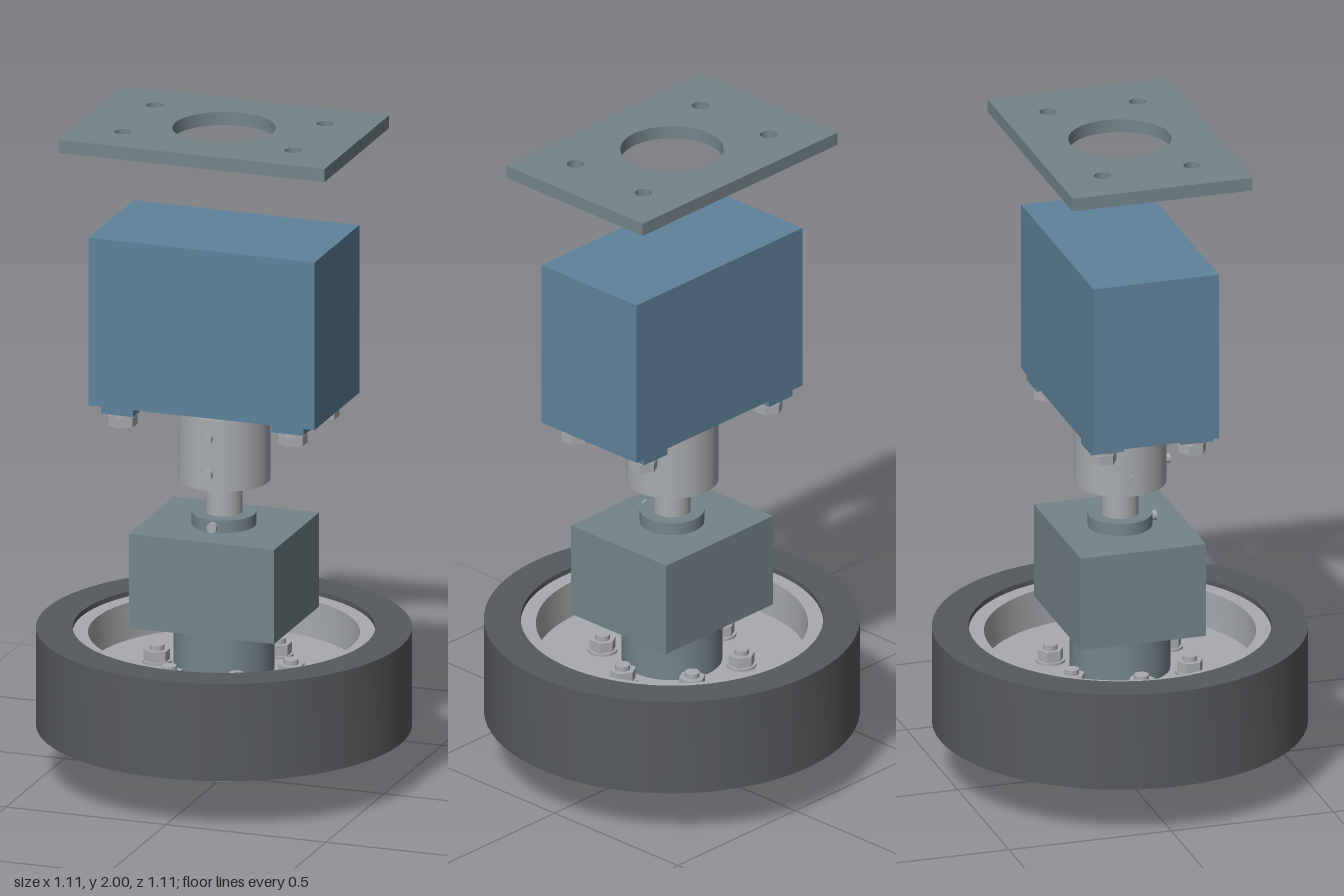
import * as THREE from 'three';
import { toCreasedNormals } from 'three/addons/utils/BufferGeometryUtils.js';

const paint = (name, color) => {
  const m = new THREE.MeshStandardMaterial({ color });
  m.name = name;
  return m;
};

export function createModel() {
  const blue = paint('motor blue', 0x5f829b);
  const slate = paint('slate steel', 0x74848a);
  const metal = paint('light metal', 0xa8abae);
  const rubber = paint('dark rubber', 0x575a5d);

  const model = new THREE.Group();
  model.name = 'driveWheelAssembly';

  const add = (name, geometry, material, x = 0, y = 0, z = 0, parent = model) => {
    const mesh = new THREE.Mesh(geometry, material);
    mesh.name = name;
    mesh.position.set(x, y, z);
    parent.add(mesh);
    return mesh;
  };
  // Box and cylinder given by their lower and upper heights
  const box = (name, w, d, y0, y1, mat, x = 0, z = 0, parent = model) =>
    add(name, new THREE.BoxGeometry(w, y1 - y0, d), mat, x, (y0 + y1) / 2, z, parent);
  const cyl = (name, r, y0, y1, mat, x = 0, z = 0, parent = model, sides = 48) => {
    let g = new THREE.CylinderGeometry(r, r, y1 - y0, sides);
    if (sides === 6) g = toCreasedNormals(g, 0.5);
    return add(name, g, mat, x, (y0 + y1) / 2, z, parent);
  };
  // Closed ring profile turned around the axle, with crisp edges
  const turned = (name, profile, mat) => {
    const pts = [...profile, profile[0]].map(([r, y]) => new THREE.Vector2(r, y));
    return add(name, toCreasedNormals(new THREE.LatheGeometry(pts, 72), 0.6), mat);
  };
  const setScrew = (name, y, r, reach, side) => {
    const screw = add(name, new THREE.CylinderGeometry(0.015, 0.015, 0.04, 16), metal);
    const d = reach - 0.02;
    if (side === 'front') {
      screw.rotation.x = Math.PI / 2;
      screw.position.set(0, y, d);
    } else {
      screw.rotation.z = Math.PI / 2;
      screw.position.set(-d, y, 0);
    }
  };

  // Top mounting plate with a pilot hole and four bolt holes
  const w = 0.415, d = 0.277;
  const plate = new THREE.Shape([[-w, -d], [w, -d], [w, d], [-w, d]].map(([x, y]) => new THREE.Vector2(x, y)));
  const hole = (x, y, r) => plate.holes.push(new THREE.Path().absarc(x, y, r, 0, Math.PI * 2, true));
  hole(0, 0, 0.152);
  for (const x of [-0.266, 0.266]) for (const z of [-0.138, 0.138]) hole(x, z, 0.025);
  const plateGeo = new THREE.ExtrudeGeometry(plate, { depth: 0.04, bevelEnabled: false, curveSegments: 24 });
  plateGeo.rotateX(-Math.PI / 2);
  add('mountingPlate', toCreasedNormals(plateGeo, 0.5), slate, 0, 1.96, 0);

  // Motor with four feet, each with a washer and hex bolt
  box('motorBody', 0.706, 0.386, 1.163, 1.68, blue);
  for (const x of [-0.266, 0.266]) for (const z of [-0.138, 0.138]) {
    const foot = new THREE.Group();
    foot.name = 'motorFoot';
    foot.position.set(x, 0, z);
    model.add(foot);
    box('footPad', 0.1, 0.1, 1.14, 1.163, blue, 0, 0, foot);
    cyl('footWasher', 0.036, 1.127, 1.14, metal, 0, 0, foot, 24);
    cyl('footBolt', 0.043, 1.097, 1.127, metal, 0, 0, foot, 6);
  }
  cyl('motorShaft', 0.045, 1.13, 1.165, blue);

  // Shaft coupling with set screws
  cyl('coupling', 0.137, 0.92, 1.14, metal);
  for (const y of [0.972, 1.083]) {
    setScrew('couplingScrew', y, 0.015, 0.152, 'front');
    setScrew('couplingSideScrew', y, 0.015, 0.141, 'right');
  }

  // Axle, locking collar and bearing block
  cyl('axle', 0.055, 0, 0.925, metal);
  cyl('lockingCollar', 0.095, 0.775, 0.818, slate);
  setScrew('collarScrew', 0.797, 0.015, 0.11, 'front');
  box('bearingBlock', 0.454, 0.386, 0.49, 0.78, slate);
  cyl('spacerRing', 0.105, 0.47, 0.492, metal);

  // Hub with a lower clamping flange
  cyl('hub', 0.148, 0.32, 0.475, slate);
  cyl('hubFlange', 0.28, 0.25, 0.29, slate, 0, 0, model, 64);

  // Tyre and rim
  turned('tyre', [[0.553, 0.16], [0.553, 0.46], [0.445, 0.46], [0.445, 0.16]], rubber);
  turned('rim', [
    [0.446, 0.175], [0.446, 0.445], [0.4, 0.445], [0.4, 0.33],
    [0.05, 0.33], [0.05, 0.288], [0.4, 0.288], [0.4, 0.175],
  ], metal);

  // Six through bolts joining the hub and wheel web
  for (let i = 0; i < 6; i++) {
    const a = (i * Math.PI) / 3;
    const bolt = new THREE.Group();
    bolt.name = 'wheelBolt';
    bolt.position.set(0.21 * Math.cos(a), 0, 0.21 * Math.sin(a));
    model.add(bolt);
    cyl('boltHead', 0.04, 0.222, 0.252, metal, 0, 0, bolt, 6);
    cyl('boltWasher', 0.044, 0.328, 0.338, metal, 0, 0, bolt, 24);
    cyl('boltNut', 0.04, 0.338, 0.37, metal, 0, 0, bolt, 6);
    cyl('boltEnd', 0.022, 0.37, 0.385, metal, 0, 0, bolt, 16);
  }

  return model;
}
